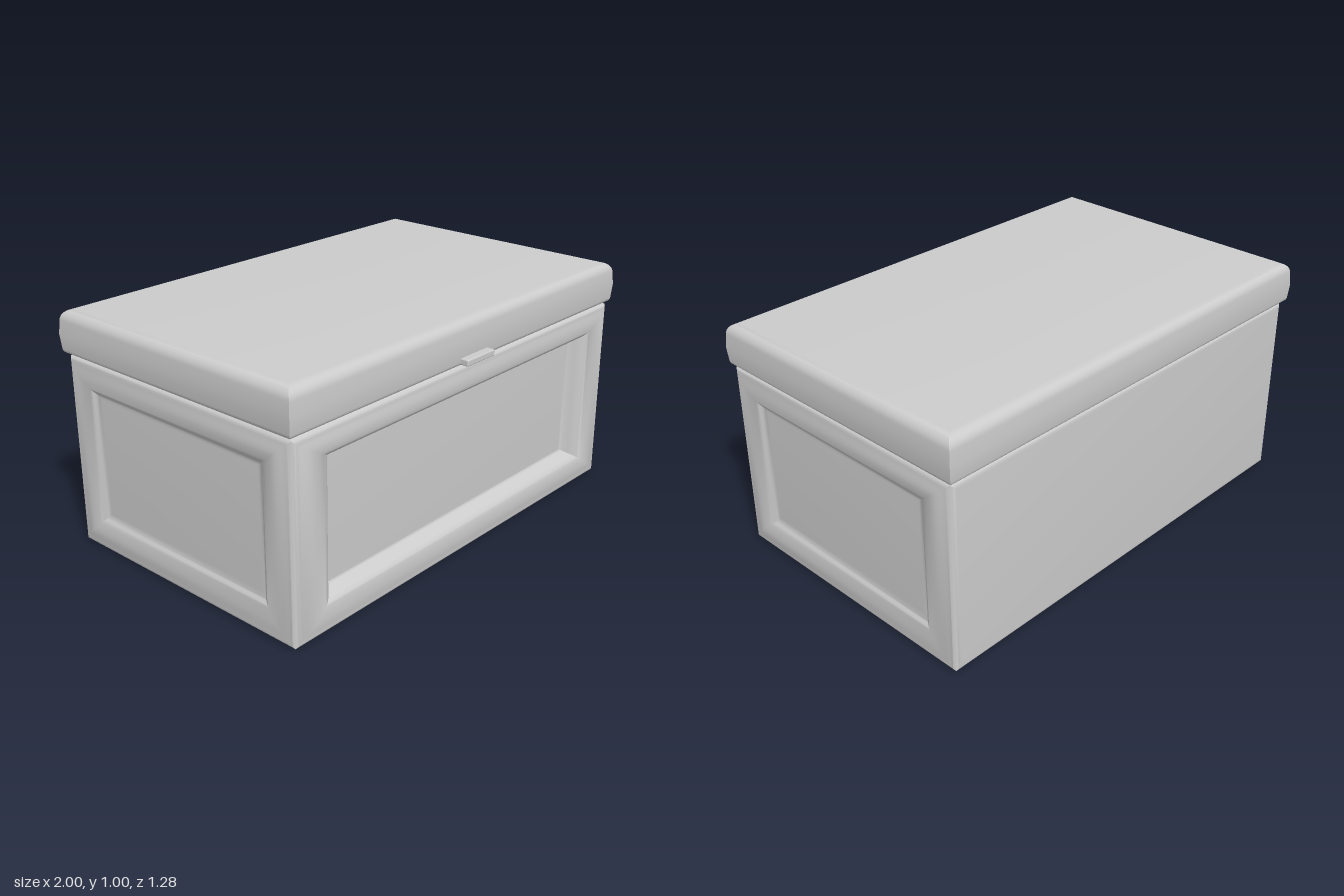
import * as THREE from 'three';
import { mergeGeometries, toCreasedNormals } from 'three/addons/utils/BufferGeometryUtils.js';
import { RoundedBoxGeometry } from 'three/addons/geometries/RoundedBoxGeometry.js';

// Skin over nested rectangles; each loop is { left, right, bottom, top, z }.
function skinLoops(loops, capStart = false) {
  const positions = [];
  const corners = loops.map(({ left, right, bottom, top, z }) => [
    [left, bottom, z], [right, bottom, z], [right, top, z], [left, top, z],
  ]);
  const quad = (a, b, c, d) => positions.push(...a, ...b, ...c, ...a, ...c, ...d);
  for (let k = 0; k < corners.length - 1; k++) {
    const outer = corners[k], inner = corners[k + 1];
    for (let i = 0; i < 4; i++) {
      const j = (i + 1) % 4;
      quad(outer[i], outer[j], inner[j], inner[i]);
    }
  }
  quad(...corners[corners.length - 1]);
  if (capStart) quad(...[...corners[0]].reverse());
  const geometry = new THREE.BufferGeometry();
  geometry.setAttribute('position', new THREE.Float32BufferAttribute(positions, 3));
  return geometry;
}

const BEVEL = 0.03;

// One wall of the body: half of the rounded edge, then an optional moulded frame.
// frame = { left, right, bottom, top, profile } with widths and [fraction, depth] points.
function wall(width, height, frame) {
  const loops = [];
  const add = (l, r, b, t, depth) => loops.push({
    left: -width / 2 + l, right: width / 2 - r,
    bottom: -height / 2 + b, top: height / 2 - t, z: -depth,
  });
  for (let i = 0; i <= 4; i++) {
    const angle = (Math.PI / 4) * (1 - i / 4);
    const inset = BEVEL * (1 - Math.sin(angle));
    add(inset, inset, inset, inset, BEVEL * (1 - Math.cos(angle)));
  }
  if (frame) {
    const curve = new THREE.SplineCurve(frame.profile.map(([s, d]) => new THREE.Vector2(s, d)));
    const at = (size, s) => BEVEL + (size - BEVEL) * s;
    for (const { x: s, y: depth } of curve.getPoints(28).slice(1)) {
      add(at(frame.left, s), at(frame.right, s), at(frame.bottom, s), at(frame.top, s), depth);
    }
  }
  return skinLoops(loops);
}

function bodyGeometry(w, h, d) {
  const front = {
    left: 0.22, right: 0.22, bottom: 0.165, top: 0.14,
    profile: [[0, 0], [0.3, -0.01], [0.6, -0.006], [0.8, 0.012], [0.92, 0.042], [1, 0.055], [1.1, 0.056]],
  };
  const side = {
    left: 0.17, right: 0.17, bottom: 0.165, top: 0.145,
    profile: [[0, 0], [0.35, -0.009], [0.7, -0.002], [0.9, 0.012], [1, 0.016], [1.1, 0.016]],
  };
  const half = Math.PI / 2;
  const walls = [
    wall(w, h, front).translate(0, 0, d / 2),
    wall(w, h).translate(0, 0, d / 2).rotateY(Math.PI),
    wall(d, h, side).translate(0, 0, w / 2).rotateY(half),
    wall(d, h, side).translate(0, 0, w / 2).rotateY(-half),
    wall(w, d).translate(0, 0, h / 2).rotateX(-half),
    wall(w, d).translate(0, 0, h / 2).rotateX(half),
  ];
  return toCreasedNormals(mergeGeometries(walls), 0.6);
}

// Lid: stacked rectangles with soft horizontal edges and mitred vertical corners.
function lidGeometry(w, h, d) {
  const loops = [];
  const add = (inset, z) => loops.push({
    left: -w / 2 + inset, right: w / 2 - inset,
    bottom: -d / 2 + inset, top: d / 2 - inset, z,
  });
  const bottomRadius = 0.02, topRadius = 0.045, taper = 0.005;
  for (let i = 0; i <= 5; i++) {
    const a = (i / 5) * Math.PI / 2;
    add(taper + bottomRadius * (1 - Math.sin(a)), bottomRadius * (1 - Math.cos(a)));
  }
  add(0, h * 0.45);
  for (let i = 0; i <= 8; i++) {
    const a = (i / 8) * Math.PI / 2;
    add(taper + topRadius * (1 - Math.cos(a)), h - topRadius * (1 - Math.sin(a)));
  }
  return toCreasedNormals(skinLoops(loops, true).rotateX(-Math.PI / 2), 0.6);
}

export function createModel() {
  const group = new THREE.Group();
  const material = new THREE.MeshStandardMaterial({ color: 0xcccccc });
  const add = (name, geometry, x, y, z) => {
    const mesh = new THREE.Mesh(geometry, material);
    mesh.name = name;
    mesh.position.set(x, y, z);
    group.add(mesh);
  };

  // Chest body with recessed front and side panels
  add('body', bodyGeometry(1.97, 0.82, 1.22), 0, 0.41, -0.01);
  // Lid overhanging at the back
  add('lid', lidGeometry(2, 0.18, 1.25), 0, 0.82, -0.015);
  // Small finger tab on the front edge of the lid
  add('latch', new RoundedBoxGeometry(0.17, 0.027, 0.08, 2, 0.006), 0, 0.841, 0.6);

  return group;
}
